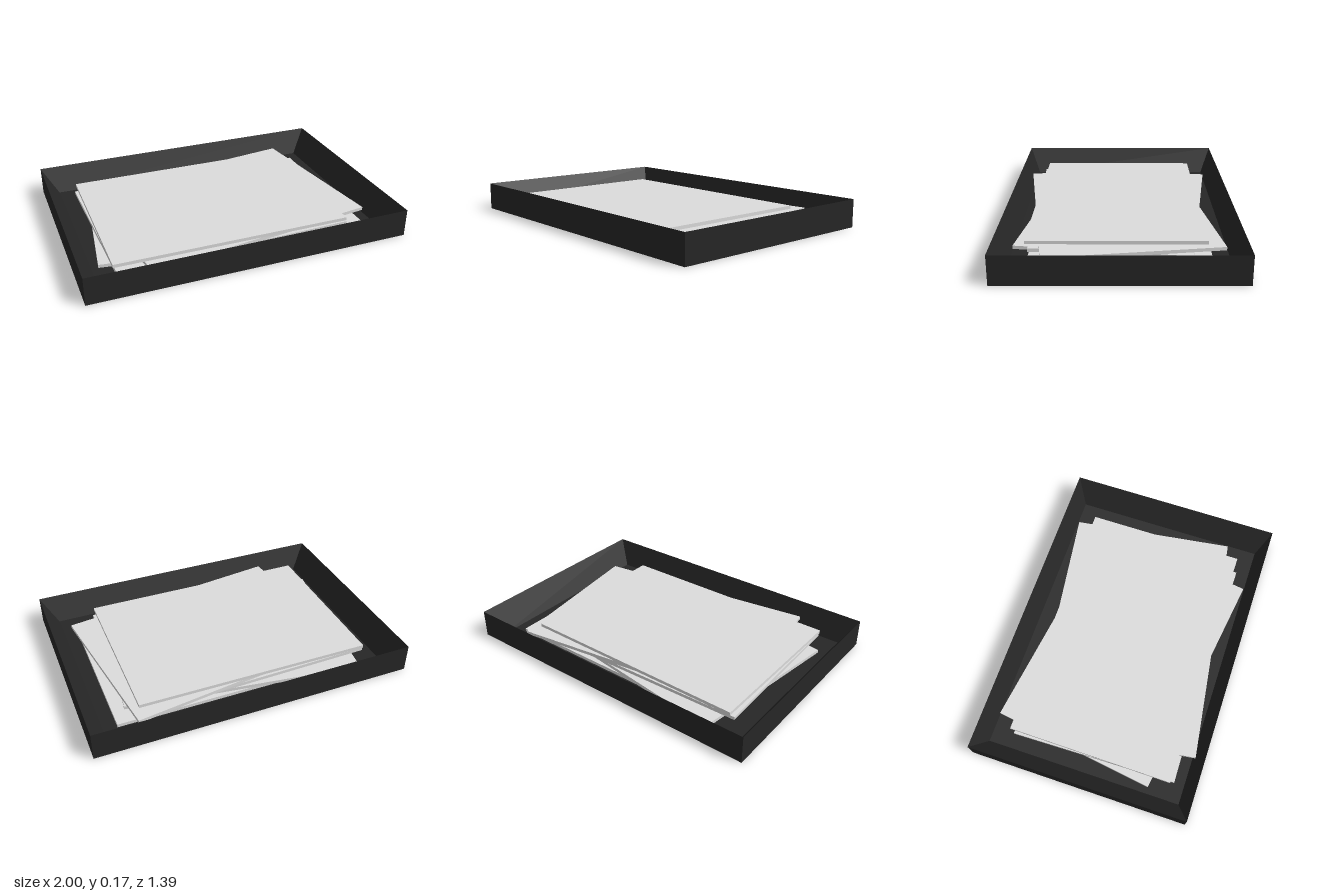
import * as THREE from 'three';

// Closed skin through rectangular loops [halfX, y, halfZ], capped at both ends
function rectLoops(loops) {
  const corners = loops.map(([x, y, z]) => [[-x, y, z], [x, y, z], [x, y, -z], [-x, y, -z]]);
  const pos = [];
  const quad = (a, b, c, d) => [a, b, c, a, c, d].forEach((p) => pos.push(...p));
  for (let i = 0; i < corners.length - 1; i++) {
    for (let j = 0; j < 4; j++) {
      const k = (j + 1) % 4;
      quad(corners[i][j], corners[i][k], corners[i + 1][k], corners[i + 1][j]);
    }
  }
  const first = corners[0], last = corners[corners.length - 1];
  quad(first[3], first[2], first[1], first[0]);
  quad(last[0], last[1], last[2], last[3]);
  const geometry = new THREE.BufferGeometry();
  geometry.setAttribute('position', new THREE.Float32BufferAttribute(pos, 3));
  geometry.computeVertexNormals();
  return geometry;
}

export function createModel() {
  const model = new THREE.Group();
  model.name = 'paperTray';

  const trayBlack = new THREE.MeshStandardMaterial({ color: 0x262626 });
  trayBlack.name = 'trayBlack';
  const paperGrey = new THREE.MeshStandardMaterial({ color: 0xdcdcdc });
  paperGrey.name = 'paperGrey';

  // Tray: upright outside, sharp rim, inside walls sloping down to the floor
  const tray = new THREE.Mesh(rectLoops([
    [1, 0, 0.693], [1, 0.175, 0.693], [0.9, 0.01, 0.623],
  ]), trayBlack);
  tray.name = 'tray';
  model.add(tray);

  // Loose stack, bottom to top: centre x, centre z, turn in degrees
  const stack = new THREE.Group();
  stack.name = 'paperStack';
  const thickness = 0.0205;
  const sheet = new THREE.BoxGeometry(1.476, thickness, 1.04);
  [
    [0.077, 0, 0],
    [-0.06, 0, -8],
    [-0.065, 0.02, 1.4],
    [0.05, 0.02, 8],
    [-0.065, 0.017, -0.25],
  ].forEach(([x, z, turn], i) => {
    const paper = new THREE.Mesh(sheet, paperGrey);
    paper.name = `paper${i + 1}`;
    paper.position.set(x, 0.01 + thickness * (i + 0.5), z);
    paper.rotation.y = THREE.MathUtils.degToRad(turn);
    stack.add(paper);
  });
  model.add(stack);

  return model;
}
